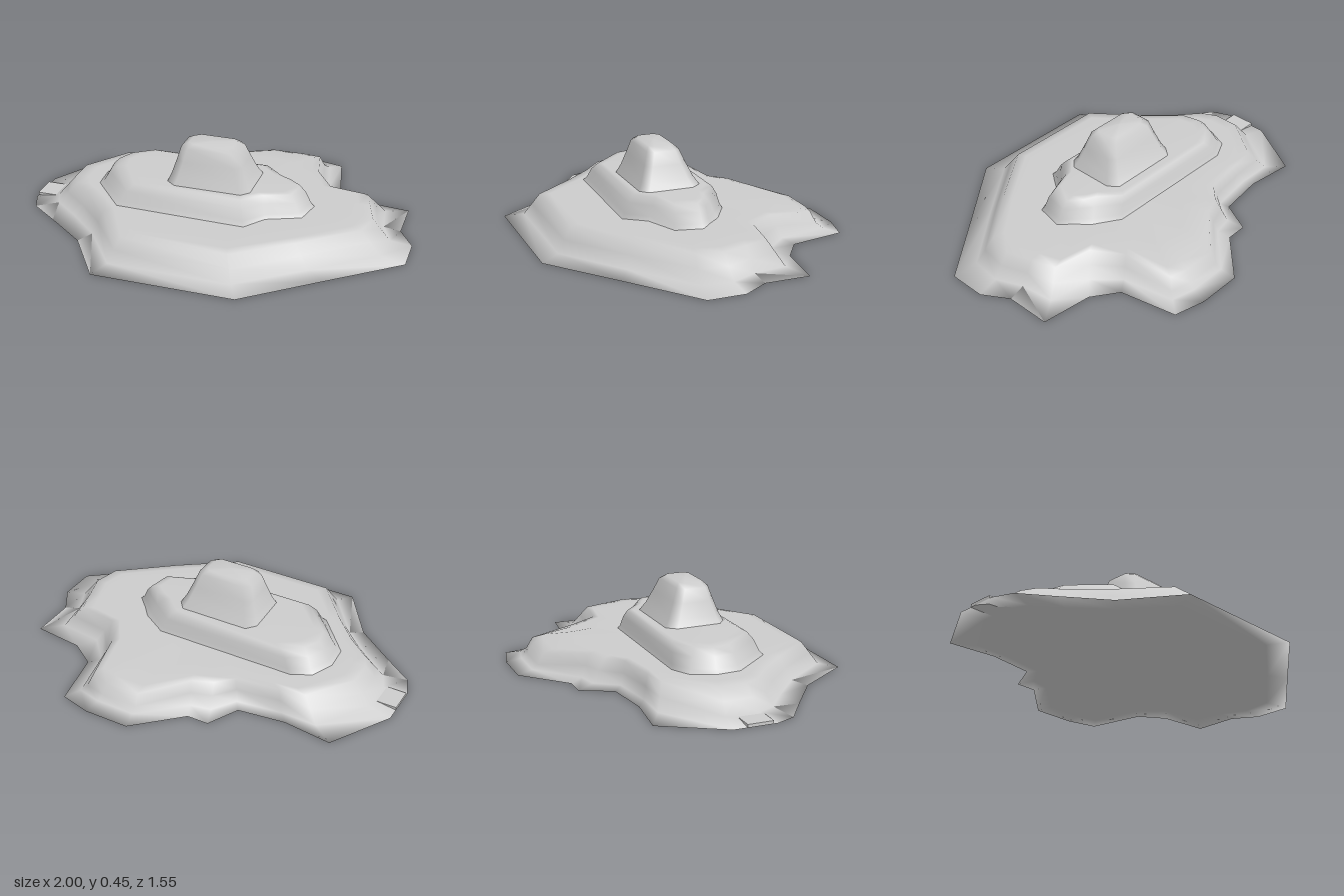
import * as THREE from 'three';

const material = new THREE.MeshStandardMaterial({ color: 0xcccccc, roughness: 0.9 });

// Lofts a terrace through levels [t, y]: t 0 = foot outline, 1 = shoulder outline, 2 = centre.
function terrace(name, foot, shoulder, centre, levels, drop = () => 0) {
  const n = foot.length, pos = [], index = [];
  for (const [t, y] of levels) {
    for (let i = 0; i < n; i++) {
      const a = t <= 1 ? foot[i] : shoulder[i];
      const b = t <= 1 ? shoulder[i] : centre;
      const k = t <= 1 ? t : t - 1;
      const x = a[0] + (b[0] - a[0]) * k, z = a[1] + (b[1] - a[1]) * k;
      pos.push(x, y - (y > 0.06 ? drop(x, z) : 0), z);
    }
  }
  for (let r = 0; r < levels.length - 1; r++) {
    for (let i = 0; i < n; i++) {
      const a0 = r * n + i, b0 = r * n + (i + 1) % n, a1 = a0 + n, b1 = b0 + n;
      index.push(a0, a1, b1, a0, b1, b0);
    }
  }
  const geometry = new THREE.BufferGeometry();
  geometry.setAttribute('position', new THREE.Float32BufferAttribute(pos, 3));
  geometry.setIndex(index);
  geometry.computeVertexNormals();
  const mesh = new THREE.Mesh(geometry, material);
  mesh.name = name;
  return mesh;
}

export function createModel() {
  const island = new THREE.Group();
  island.name = 'terracedIsland';

  // Shoreline and lower plateau, closed underneath
  const shore = [
    [-1, -0.1], [-0.82, -0.41], [-0.57, -0.38], [-0.33, -0.41], [-0.25, -0.57], [-0.14, -0.57],
    [0.08, -0.78], [0.31, -0.78], [0.47, -0.74], [0.53, -0.45], [0.66, -0.36], [0.92, -0.33],
    [0.92, -0.1], [1, 0.03], [1, 0.22], [0.66, 0.49], [0.31, 0.77], [-0.41, 0.77],
    [-0.6, 0.49], [-0.81, 0.33], [-0.96, 0.22], [-1, 0.12]];
  const plateauEdge = [
    [-0.79, -0.07], [-0.63, -0.29], [-0.5, -0.31], [-0.28, -0.34], [-0.2, -0.42], [-0.1, -0.46],
    [0.1, -0.64], [0.28, -0.64], [0.37, -0.62], [0.42, -0.38], [0.52, -0.23], [0.72, -0.2],
    [0.76, -0.08], [0.8, 0.05], [0.77, 0.18], [0.5, 0.4], [0.22, 0.6], [-0.32, 0.6],
    [-0.5, 0.38], [-0.63, 0.24], [-0.75, 0.14], [-0.79, 0.06]];
  // The back headland slopes gently down
  const headlandDrop = (x, z) => Math.min(0.035, Math.max(0, (-z - 0.48) * 0.22));
  island.add(terrace('lowerPlateau', shore, plateauEdge, [0.05, 0],
    [[2, 0], [1, 0], [0.6, 0], [0, 0], [0.55, 0.018], [0.78, 0.075], [1, 0.13], [1.08, 0.135], [1.3, 0.135], [2, 0.135]],
    headlandDrop));

  // Middle terrace
  const middleFoot = [
    [-0.65, -0.02], [-0.6, -0.14], [-0.5, -0.19], [0.25, -0.19], [0.38, -0.11], [0.44, -0.04],
    [0.5, 0.02], [0.47, 0.16], [0.3, 0.23], [0.22, 0.34], [-0.46, 0.32], [-0.64, 0.11]];
  const middleEdge = [
    [-0.56, 0], [-0.52, -0.08], [-0.42, -0.15], [0.2, -0.15], [0.3, -0.06], [0.36, -0.03],
    [0.42, 0.02], [0.4, 0.13], [0.27, 0.18], [0.18, 0.26], [-0.38, 0.26], [-0.54, 0.09]];
  island.add(terrace('middleTerrace', middleFoot, middleEdge, [0, 0.07],
    [[0, 0.13], [0.3, 0.155], [0.6, 0.205], [1, 0.24], [1.1, 0.247], [2, 0.247]]));

  // Central peak
  const peakFoot = [
    [-0.24, -0.05], [-0.2, -0.1], [0.17, -0.1], [0.21, -0.05],
    [0.21, 0.19], [0.17, 0.23], [-0.18, 0.23], [-0.23, 0.19]];
  const peakEdge = [
    [-0.17, 0.02], [-0.13, -0.01], [0.1, -0.01], [0.13, 0.02],
    [0.13, 0.13], [0.1, 0.16], [-0.13, 0.16], [-0.17, 0.13]];
  island.add(terrace('peak', peakFoot, peakEdge, [-0.02, 0.08],
    [[0, 0.24], [0.35, 0.29], [0.7, 0.36], [1, 0.425], [1.25, 0.446], [2, 0.452]]));

  // Flat landing on the shore and the small step behind it
  const slab = (name, w, h, d, x, y, z) => {
    const mesh = new THREE.Mesh(new THREE.BoxGeometry(w, h, d), material);
    mesh.name = name;
    mesh.position.set(x, y, z);
    island.add(mesh);
  };
  slab('shoreLanding', 0.14, 0.016, 0.13, -0.93, 0.008, 0.035);

  return island;
}
